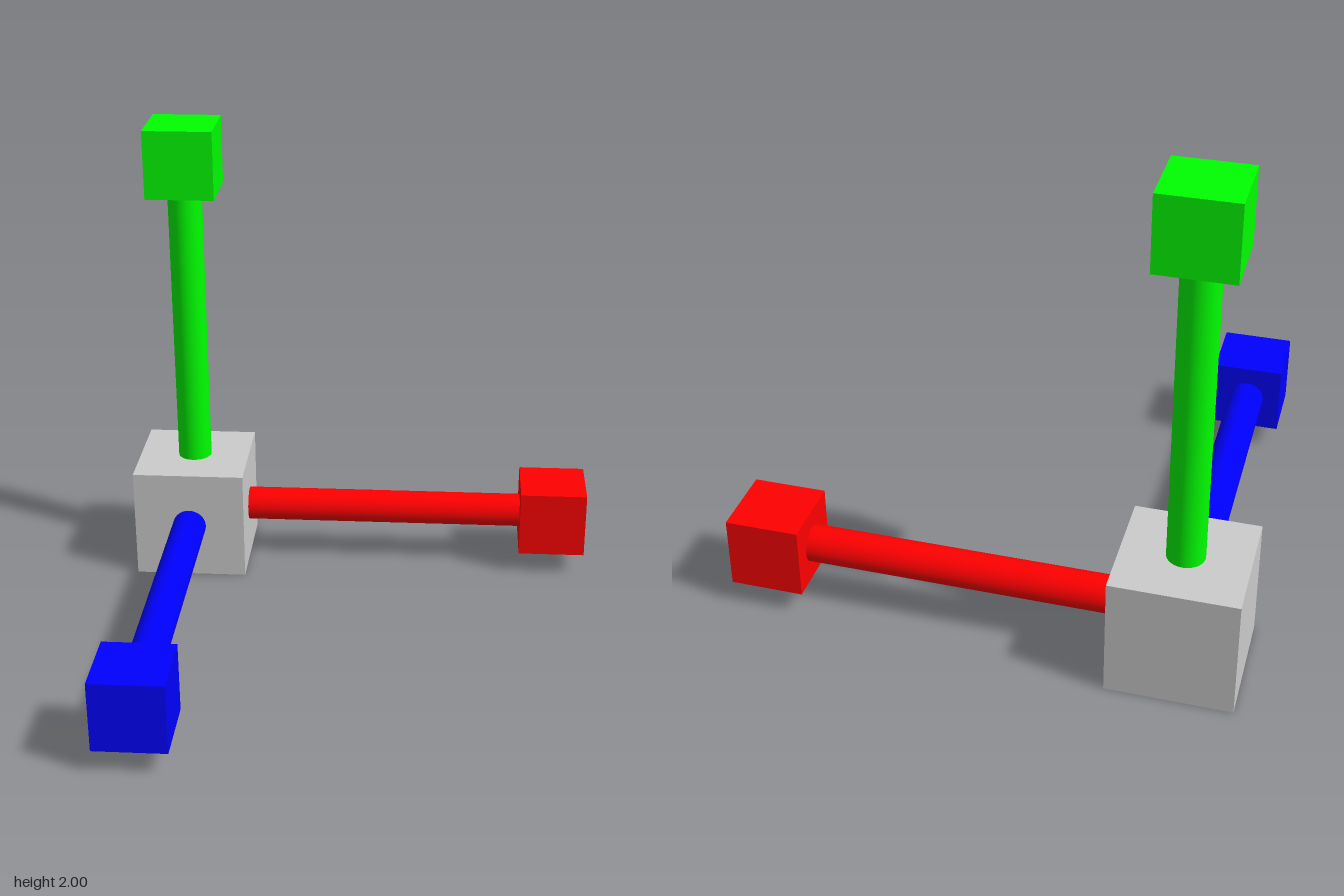
import * as THREE from 'three';

const HUB = 0.485;      // hub cube edge
const TIP = 0.29;       // end cube edge
const RADIUS = 0.073;   // rod radius
const REACH = 2 - HUB / 2; // hub centre to the outer face of an end cube

// One arm along +y from the hub centre: a round rod with a cube on its end.
function makeArm(name, color) {
  const arm = new THREE.Group();
  arm.name = name;
  const material = new THREE.MeshStandardMaterial({ color });

  const start = HUB / 2 - 0.02;
  const end = REACH - TIP + 0.02;
  const rod = new THREE.Mesh(
    new THREE.CylinderGeometry(RADIUS, RADIUS, end - start, 32), material);
  rod.name = name + 'Rod';
  rod.position.y = (start + end) / 2;

  const tip = new THREE.Mesh(new THREE.BoxGeometry(TIP, TIP, TIP), material);
  tip.name = name + 'EndCube';
  tip.position.y = REACH - TIP / 2;

  arm.add(rod, tip);
  return arm;
}

export function createModel() {
  const model = new THREE.Group();
  model.name = 'axisGizmo';

  // Everything is placed around the hub centre in the back corner.
  const assembly = new THREE.Group();
  assembly.name = 'hubAndArms';
  assembly.position.set(HUB / 2 - 1, HUB / 2, HUB / 2 - 1);

  const hub = new THREE.Mesh(
    new THREE.BoxGeometry(HUB, HUB, HUB),
    new THREE.MeshStandardMaterial({ color: 0xcccccc }));
  hub.name = 'hub';

  const xArm = makeArm('xArm', 0xff0000);
  xArm.rotation.z = -Math.PI / 2;
  const yArm = makeArm('yArm', 0x00ff00);
  const zArm = makeArm('zArm', 0x0000ff);
  zArm.rotation.x = Math.PI / 2;

  assembly.add(hub, xArm, yArm, zArm);
  model.add(assembly);
  return model;
}
